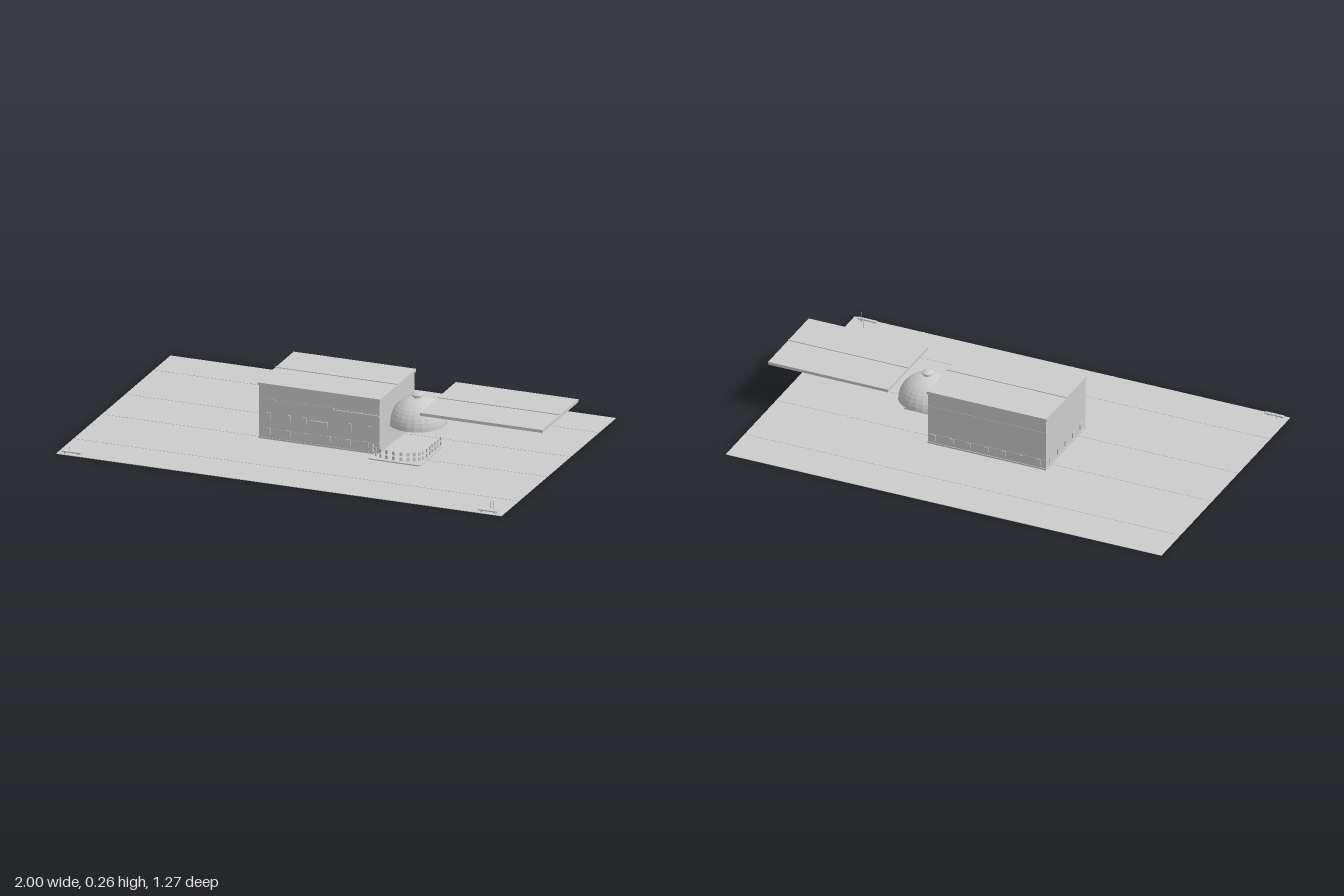
import * as THREE from 'three';

export function createModel() {
  const model = new THREE.Group();
  const grey = new THREE.MeshStandardMaterial({ color: 0xcccccc, side: THREE.DoubleSide });
  grey.name = 'concrete grey';
  const facetedGrey = grey.clone();
  facetedGrey.name = 'faceted grey';
  facetedGrey.flatShading = true;

  function add(name, geometry, material = grey, parent = model) {
    const mesh = new THREE.Mesh(geometry, material);
    mesh.name = name;
    parent.add(mesh);
    return mesh;
  }
  // Box given by its two extreme corners
  function box(name, [x0, y0, z0], [x1, y1, z1], parent = model) {
    const mesh = add(name, new THREE.BoxGeometry(x1 - x0, y1 - y0, z1 - z0), grey, parent);
    mesh.position.set((x0 + x1) / 2, (y0 + y1) / 2, (z0 + z1) / 2);
    return mesh;
  }
  function group(name) {
    const g = new THREE.Group();
    g.name = name;
    model.add(g);
    return g;
  }

  // Ground with raised paving joints
  const ground = group('ground');
  box('groundPlate', [-1, 0, -0.635], [1, 0.002, 0.635], ground);
  for (const x of [-0.88, -0.375, -0.19, 0, 0.49, 0.68])
    box('pavingJoint', [x - 0.003, 0.002, -0.635], [x + 0.003, 0.003, 0.635], ground);
  for (const z of [-0.447, -0.135, 0.125, 0.44])
    box('pavingJoint', [-1, 0.002, z - 0.003], [1, 0.003, z + 0.003], ground);

  // Main hall
  const hall = group('hall');
  box('hallWalls', [-0.273, 0.015, -0.213], [0.267, 0.25, 0.177], hall);
  box('hallRoof', [-0.278, 0.25, -0.218], [0.272, 0.262, 0.182], hall);
  box('hallRoofRidge', [-0.278, 0.262, -0.021], [0.272, 0.265, -0.011], hall);
  box('plinth', [-0.275, 0.015, -0.216], [0.269, 0.022, 0.179], hall);
  for (const y of [0.06, 0.19])
    box('wallBand', [-0.274, y, -0.214], [0.268, y + 0.003, 0.178], hall);
  box('porchLedge', [0.06, 0.182, 0.177], [0.267, 0.187, 0.182], hall);
  box('signPanel', [-0.045, 0.1, 0.177], [0.035, 0.125, 0.182], hall);

  // Wall windows
  for (const x of [-0.23, -0.14, -0.07, 0.135, 0.225])
    box('frontWindow', [x - 0.009, 0.105, 0.177], [x + 0.009, 0.135, 0.181], hall);
  for (const x of [-0.23, -0.14, -0.06, 0.04, 0.13, 0.21])
    box('lowFrontWindow', [x - 0.009, 0.04, 0.177], [x + 0.009, 0.065, 0.181], hall);
  for (let i = 0; i < 7; i++) {
    const x = -0.24 + i * 0.08;
    box('backWindow', [x - 0.009, 0.035, -0.217], [x + 0.009, 0.06, -0.213], hall);
  }
  for (let i = 0; i < 5; i++) {
    const z = -0.17 + i * 0.075;
    box('sideWindow', [-0.277, 0.035, z - 0.009], [-0.273, 0.06, z + 0.009], hall);
  }

  // Raised wing roof
  const wing = group('wingRoof');
  box('wingSlab', [0.45, 0.215, -0.218], [1, 0.228, 0.182], wing);
  box('wingRidge', [0.45, 0.228, -0.021], [1, 0.231, -0.011], wing);

  // Dome shell with a finial
  const domeProfile = [];
  for (let i = 0; i <= 10; i++) {
    const a = (i / 10) * Math.PI / 2;
    domeProfile.push(new THREE.Vector2(0.124 * Math.cos(a), 0.113 * Math.sin(a)));
  }
  add('dome', new THREE.LatheGeometry(domeProfile, 24), facetedGrey).position.set(0.36, 0.105, -0.018);
  const finialProfile = [[0.018, 0], [0.018, 0.008], [0.026, 0.012], [0.026, 0.016], [0.014, 0.022], [0, 0.024]]
    .map(([r, y]) => new THREE.Vector2(r, y));
  add('domeFinial', new THREE.LatheGeometry(finialProfile, 16), facetedGrey).position.set(0.36, 0.215, -0.018);

  // Rounded terrace pad
  const [x0, x1, zb, zf, r] = [0.242, 0.478, 0, 0.246, 0.015];
  const pad = new THREE.Shape();
  pad.moveTo(x0, -zb);
  pad.lineTo(x1, -zb);
  pad.lineTo(x1, -zf + r);
  pad.quadraticCurveTo(x1, -zf, x1 - r, -zf);
  pad.lineTo(x0 + r, -zf);
  pad.quadraticCurveTo(x0, -zf, x0, -zf + r);
  const padGeometry = new THREE.ExtrudeGeometry(pad, { depth: 0.005, bevelEnabled: false });
  padGeometry.rotateX(-Math.PI / 2);
  add('terracePad', padGeometry).position.y = 0.015;

  // Two rows of panes: bowed front and straight sides
  const panes = group('rotundaPanes');
  const paneGeometry = new THREE.BoxGeometry(0.012, 0.016, 0.004);
  function pane(x, z, turn) {
    for (const y of [0.038, 0.06]) {
      const p = add('pane', paneGeometry, grey, panes);
      p.position.set(x, y, z);
      p.rotation.y = turn;
    }
  }
  for (let i = 0; i < 11; i++) {
    const a = (i / 10 - 0.5) * Math.PI * 0.9;
    pane(0.36 + 0.115 * Math.sin(a), 0.19 + 0.062 * Math.cos(a), a);
  }
  for (const side of [-1, 1])
    for (let i = 0; i < 6; i++) pane(0.36 + side * 0.116, 0.01 + i * 0.031, side * Math.PI / 2);

  // Low benches and thin posts at the front corners
  const yard = group('yardDetails');
  for (const [a, b] of [[-0.98, -0.895], [0.89, 0.975]]) {
    box('benchSeat', [a, 0.008, 0.609], [b, 0.013, 0.623], yard);
    for (const x of [a + 0.01, b - 0.016])
      box('benchLeg', [x, 0.002, 0.612], [x + 0.006, 0.008, 0.62], yard);
  }
  for (const [x, z, y0, y1] of [[-0.955, 0.6, 0.002, 0.025], [0.925, 0.565, 0.002, 0.032], [0.952, 0.602, 0.002, 0.05]])
    box('post', [x - 0.001, y0, z - 0.001], [x + 0.001, y1, z + 0.001], yard);

  return model;
}
